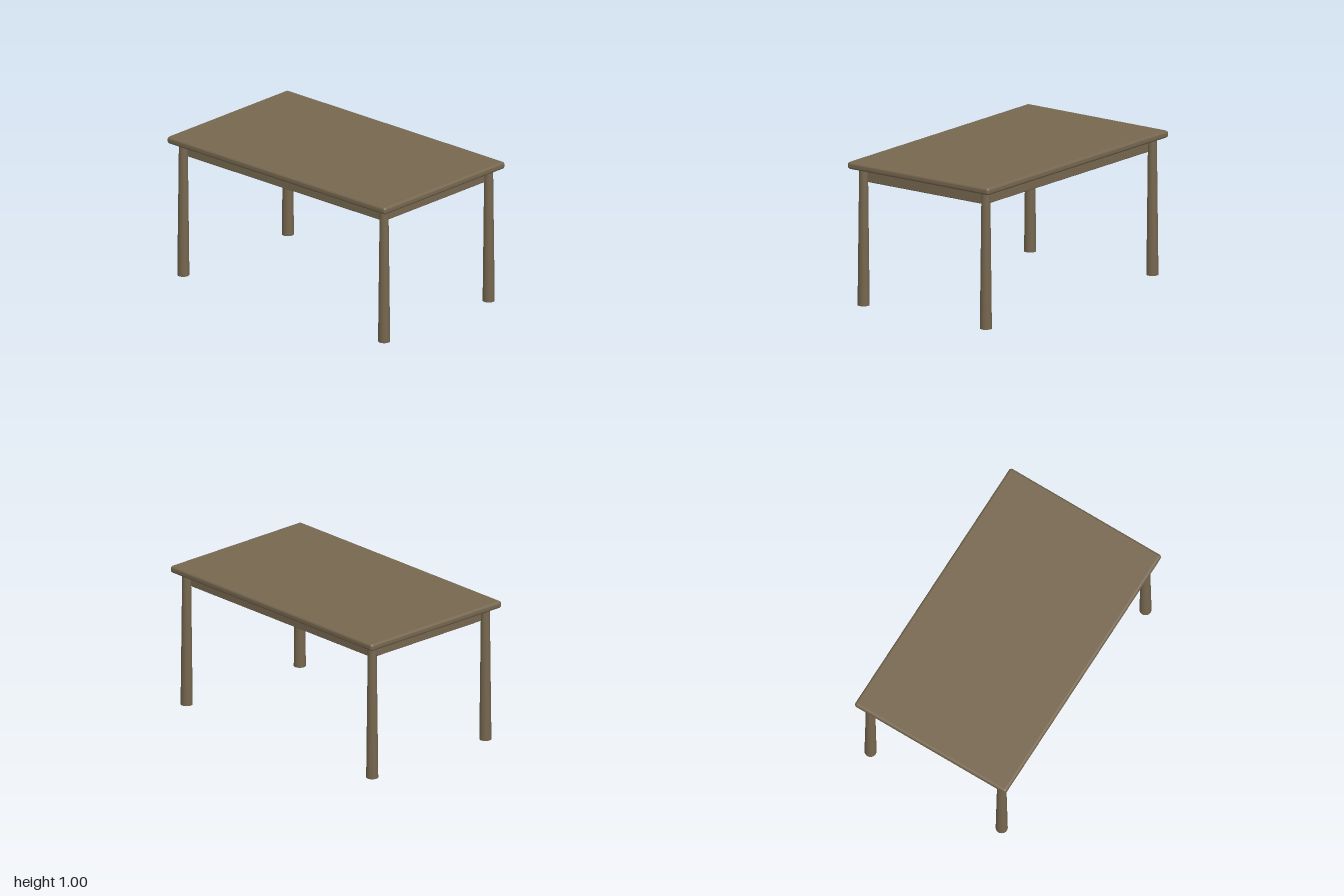
import * as THREE from 'three';
import { RoundedBoxGeometry } from 'three/addons/geometries/RoundedBoxGeometry.js';

export function createModel() {
  const table = new THREE.Group();
  table.name = 'table';

  const wood = new THREE.MeshStandardMaterial({ color: 0x76674f });
  wood.name = 'brown wood';

  function add(name, geometry, x, y, z) {
    const mesh = new THREE.Mesh(geometry, wood);
    mesh.name = name;
    mesh.position.set(x, y, z);
    table.add(mesh);
  }

  // Slab with softly rounded edges
  add('tabletop', new RoundedBoxGeometry(1.2, 0.05, 2, 4, 0.018), 0, 0.975, 0);

  // Solid apron block under the slab, its corners buried in the legs
  add('apron', new RoundedBoxGeometry(1.01, 0.1, 1.81, 2, 0.006), 0, 0.905, 0);

  // Round legs, wider at the foot, with the foot shaded smoothly into the side
  const profile = [[0, 0], [0.041, 0], [0.03, 0.955]].map(([r, y]) => new THREE.Vector2(r, y));
  const legGeometry = new THREE.LatheGeometry(profile, 32);
  for (const [side, sx] of [['left', 1], ['right', -1]]) {
    for (const [end, sz] of [['front', 1], ['back', -1]]) {
      add(`${end} ${side} leg`, legGeometry, sx * 0.52, 0, sz * 0.92);
    }
  }

  return table;
}
